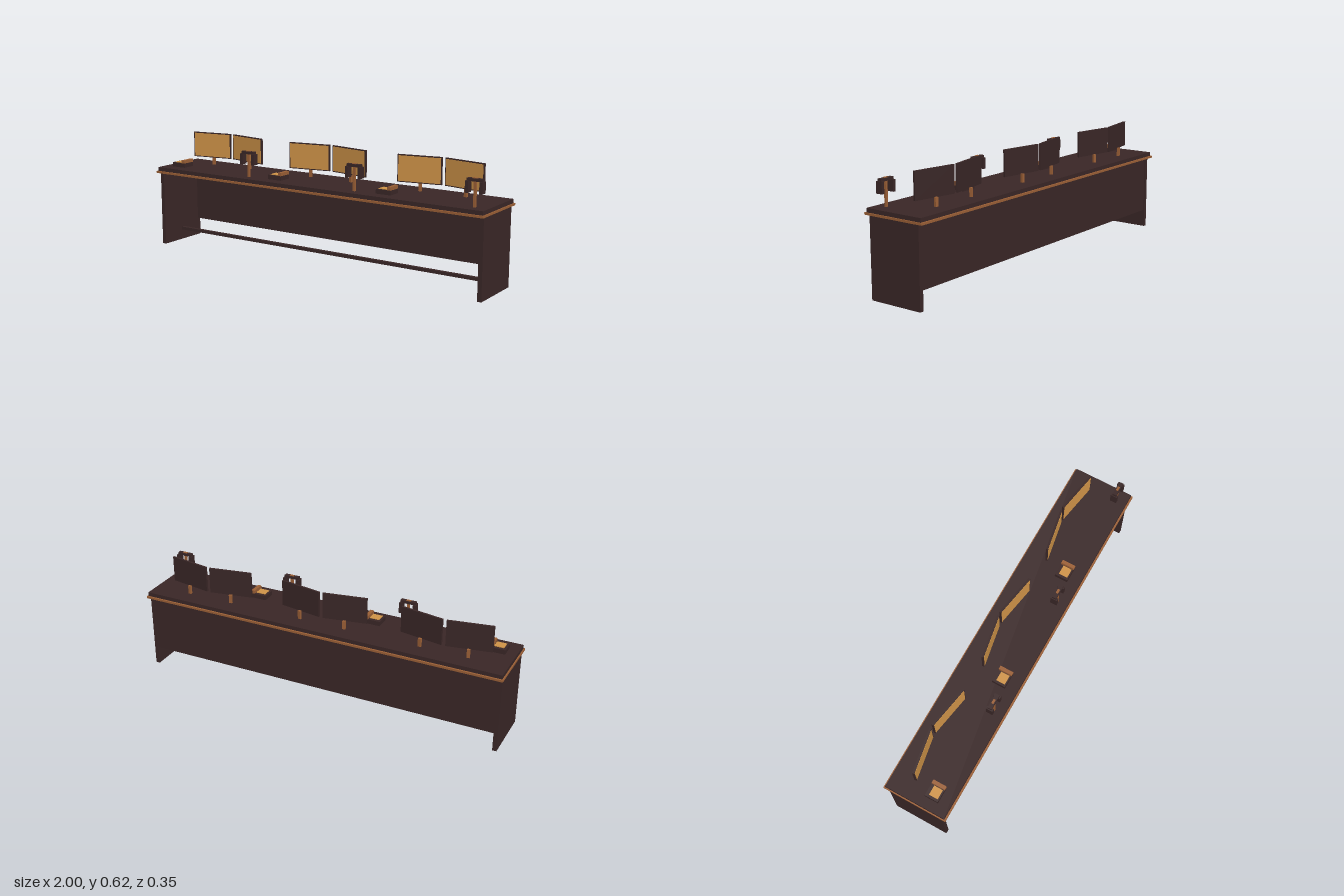
import * as THREE from 'three';

const mat = (name, color) => Object.assign(new THREE.MeshStandardMaterial({ color }), { name });

export function createModel() {
  const dark = mat('dark wood', 0x3a2727);
  const brown = mat('brown trim', 0x9c6036);
  const amber = mat('amber screen', 0xd09448);

  const group = (name, parent) => {
    const g = new THREE.Group();
    g.name = name;
    parent.add(g);
    return g;
  };
  // Box given by its [min, max] range on each axis
  const box = (parent, name, material, [x0, x1], [y0, y1], [z0, z1]) => {
    const m = new THREE.Mesh(new THREE.BoxGeometry(x1 - x0, y1 - y0, z1 - z0), material);
    m.position.set((x0 + x1) / 2, (y0 + y1) / 2, (z0 + z1) / 2);
    m.name = name;
    parent.add(m);
  };

  const model = new THREE.Group();
  model.name = 'longDesk';
  const TOP = 0.439;

  // Desk: slab, trim, end panels, back panel and foot rail
  const desk = group('desk', model);
  box(desk, 'deskTop', dark, [-0.994, 0.994], [0.418, TOP], [-0.165, 0.165]);
  box(desk, 'edgeTrim', brown, [-1, 1], [0.407, 0.418], [-0.174, 0.174]);
  box(desk, 'rightEndPanel', dark, [-0.992, -0.97], [0, 0.407], [-0.149, 0.149]);
  box(desk, 'leftEndPanel', dark, [0.97, 0.992], [0, 0.407], [-0.149, 0.149]);
  box(desk, 'backPanel', dark, [-0.97, 0.97], [0.097, 0.407], [-0.145, -0.13]);
  box(desk, 'footRail', dark, [-0.97, 0.97], [0.055, 0.071], [-0.01, 0.01]);

  // Three identical workstations
  for (const x of [-0.665, -0.003, 0.659]) {
    const station = group('workstation', model);
    station.position.x = x;

    // Pair of monitors angled towards each other
    for (const s of [-1, 1]) {
      const monitor = group('monitor', station);
      monitor.position.set(s * 0.124, 0, -0.0625);
      monitor.rotation.y = -s * 0.175;
      box(monitor, 'monitorBody', dark, [-0.116, 0.116], [0.481, 0.62], [-0.0055, 0.0055]);
      box(monitor, 'screen', amber, [-0.111, 0.111], [0.486, 0.615], [0.0055, 0.007]);
      box(monitor, 'monitorStand', brown, [-0.008, 0.008], [TOP, 0.484], [-0.018, -0.0056]);
    }

    // Desk phone with keypad and handset
    const phone = group('deskPhone', station);
    box(phone, 'phoneBase', dark, [-0.277, -0.193], [TOP, 0.463], [0.03, 0.102]);
    box(phone, 'keypad', amber, [-0.265, -0.214], [0.463, 0.466], [0.047, 0.095]);
    box(phone, 'handset', brown, [-0.211, -0.192], [0.463, 0.48], [0.031, 0.104]);

    // Headset hanging on a post
    const headset = group('headset', station);
    headset.position.set(0.264, 0, 0.108);
    box(headset, 'headsetPost', brown, [-0.006, 0.006], [TOP, 0.575], [-0.006, 0.006]);
    box(headset, 'headsetHook', brown, [-0.012, 0.012], [0.572, 0.579], [-0.006, 0.006]);
    box(headset, 'headBand', dark, [-0.04, 0.04], [0.562, 0.576], [-0.011, 0.011]);
    for (const s of [-0.037, 0.037]) {
      box(headset, 'earCup', dark, [s - 0.008, s + 0.008], [0.506, 0.563], [-0.018, 0.018]);
    }
  }
  return model;
}
